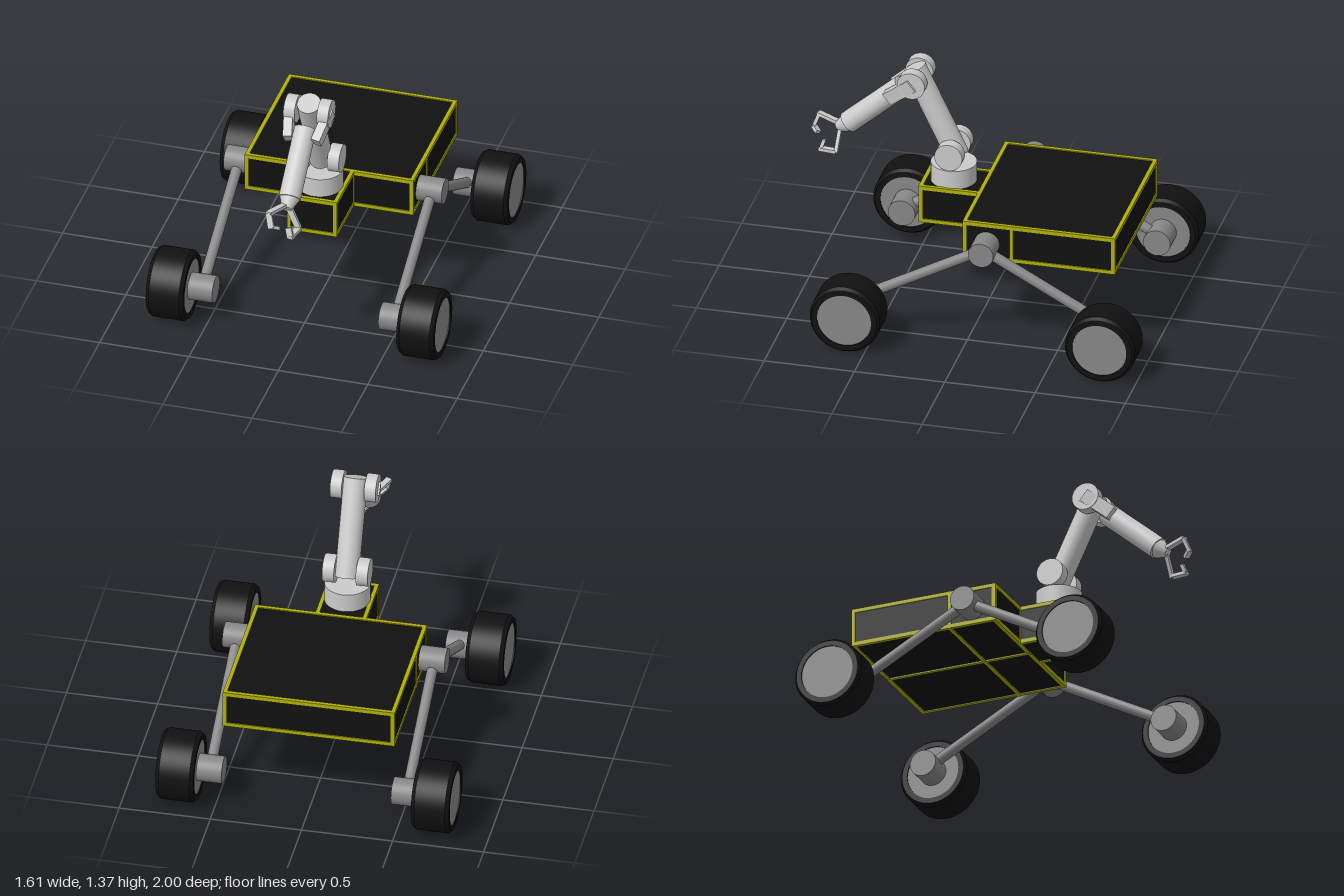
import * as THREE from 'three';

const mat = (color) => new THREE.MeshStandardMaterial({ color });
const black = mat(0x111111), yellow = mat(0xb0b008), steel = mat(0x888888), grey = mat(0xcccccc);
const V = (x, y, z) => new THREE.Vector3(x, y, z);
const UP = V(0, 1, 0);

function add(group, name, geometry, material) {
  const mesh = new THREE.Mesh(geometry, material);
  mesh.name = name;
  group.add(mesh);
  return mesh;
}

// Box given by its minimum and maximum corners
function box(group, name, a, b, material) {
  const m = add(group, name, new THREE.BoxGeometry(b[0] - a[0], b[1] - a[1], b[2] - a[2]), material);
  m.position.set((a[0] + b[0]) / 2, (a[1] + b[1]) / 2, (a[2] + b[2]) / 2);
  return m;
}

// Round rod from a to b
function rod(group, name, a, b, r, material, rEnd = r) {
  const m = add(group, name, new THREE.CylinderGeometry(rEnd, r, a.distanceTo(b), 40), material);
  m.position.copy(a).lerp(b, 0.5);
  m.quaternion.setFromUnitVectors(UP, b.clone().sub(a).normalize());
  return m;
}

// Rectangular bar from a to b, keeping its width along x as far as possible
function bar(group, name, a, b, w, d, material) {
  const m = add(group, name, new THREE.BoxGeometry(w, a.distanceTo(b), d), material);
  const y = b.clone().sub(a).normalize();
  const z = V(1, 0, 0).cross(y).normalize();
  const x = y.clone().cross(z);
  m.quaternion.setFromRotationMatrix(new THREE.Matrix4().makeBasis(x, y, z));
  m.position.copy(a).lerp(b, 0.5);
  return m;
}

// Dark panelled box with a bar along each of its twelve edges
function framedBox(name, x, y0, y1, z0, z1) {
  const g = new THREE.Group();
  g.name = name;
  const t = 0.011, i = 0.006;
  box(g, 'panels', [-x + i, y0 + i, z0 + i], [x - i, y1 - i, z1 - i], black);
  const lo = [-x, y0, z0], hi = [x, y1, z1];
  for (let axis = 0; axis < 3; axis++) {
    for (const u of [0, 1]) for (const v of [0, 1]) {
      const a = [...lo], b = [...hi];
      [[(axis + 1) % 3, u], [(axis + 2) % 3, v]].forEach(([k, side]) => {
        if (side) a[k] = hi[k] - 2 * t;
        else b[k] = lo[k] + 2 * t;
      });
      box(g, 'frameBar', a, b, yellow);
    }
  }
  return g;
}

// Bevelled tyre with a recessed disc on both faces, axle along x
function wheel() {
  const g = new THREE.Group();
  g.name = 'wheel';
  const h = 0.104, R = 0.194, r = 0.15;
  const profile = [[r, -h], [R - 0.014, -h], [R, -h + 0.02], [R, h - 0.02], [R - 0.014, h], [r, h], [r, -h]];
  // Separate bands keep the edges crisp
  for (let i = 0; i < profile.length - 1; i++) {
    const pts = [profile[i], profile[i + 1]].map((p) => new THREE.Vector2(...p));
    add(g, 'tyre', new THREE.LatheGeometry(pts, 56), black).rotation.z = Math.PI / 2;
  }
  add(g, 'wheelDisc', new THREE.CylinderGeometry(r, r, 2 * h - 0.012, 56), steel).rotation.z = Math.PI / 2;
  return g;
}

// Wheels, motors and the rocker legs of one side
function suspension(s) {
  const g = new THREE.Group();
  g.name = s > 0 ? 'leftSuspension' : 'rightSuspension';
  const pivot = V(s * 0.54, 0.58, -0.1);
  rod(g, 'rockerPivot', V(s * 0.46, 0.58, -0.1), V(s * 0.61, 0.58, -0.1), 0.07, steel);
  for (const z of [0.607, -0.806]) {
    const w = wheel();
    w.position.set(s * 0.701, 0.194, z);
    g.add(w);
    rod(g, 'wheelMotor', V(s * 0.465, 0.194, z), V(s * 0.61, 0.194, z), 0.075, steel);
    rod(g, 'rockerLeg', pivot, V(s * 0.54, 0.215, z - Math.sign(z) * 0.03), 0.029, steel);
  }
  return g;
}

// Jointed arm reaching forward from the front box
function arm() {
  const g = new THREE.Group();
  g.name = 'arm';
  rod(g, 'turntable', V(0, 0.69, 0.2), V(0, 0.805, 0.2), 0.125, grey);
  rod(g, 'upperArm', V(0, 0.85, 0.182), V(0, 1.345, 0.418), 0.065, grey);
  rod(g, 'forearm', V(0, 1.225, 0.485), V(0, 0.965, 0.785), 0.06, grey);
  for (const s of [1, -1]) {
    rod(g, 'shoulderDisc', V(s * 0.06, 0.885, 0.2), V(s * 0.125, 0.885, 0.2), 0.077, grey);
    rod(g, 'elbowDisc', V(s * 0.062, 1.293, 0.408), V(s * 0.125, 1.293, 0.408), 0.077, grey);
    bar(g, 'elbowBracket', V(s * 0.112, 1.3, 0.4), V(s * 0.078, 1.185, 0.545), 0.05, 0.075, grey);
  }
  rod(g, 'wrist', V(0, 0.965, 0.785), V(0, 0.93, 0.842), 0.055, grey, 0.027);

  // Two hooked claw fingers
  const fingers = [
    [V(-0.005, 0.95, 0.825), V(-0.065, 0.963, 0.96), V(-0.045, 0.895, 0.986), V(-0.02, 0.878, 0.96)],
    [V(0.005, 0.94, 0.825), V(0.065, 0.815, 0.835), V(0.045, 0.81, 0.925), V(0.032, 0.85, 0.912)],
  ];
  for (const p of fingers) {
    for (let i = 0; i < 3; i++) {
      const over = p[i + 1].clone().sub(p[i]).setLength(0.008);
      bar(g, 'clawFinger', p[i], p[i + 1].clone().add(over), 0.034, 0.02, grey);
    }
  }
  return g;
}

export function createModel() {
  const model = new THREE.Group();
  model.name = 'rover';

  // Chassis: wide rear body and a narrow front box
  model.add(framedBox('body', 0.472, 0.485, 0.703, -0.81, 0.035));
  model.add(framedBox('frontBox', 0.14, 0.485, 0.703, 0.013, 0.362));

  // Extra frame bars on the sides and underside
  for (const s of [1, -1]) {
    box(model, 'sidePost', [s * 0.463 - 0.01, 0.485, -0.246], [s * 0.463 + 0.01, 0.703, -0.226], yellow);
  }
  box(model, 'crossBar', [-0.472, 0.483, -0.246], [0.472, 0.5, -0.226], yellow);
  box(model, 'keelBar', [-0.01, 0.483, -0.81], [0.01, 0.5, 0.03], yellow);

  model.add(suspension(1), suspension(-1), arm());
  return model;
}
